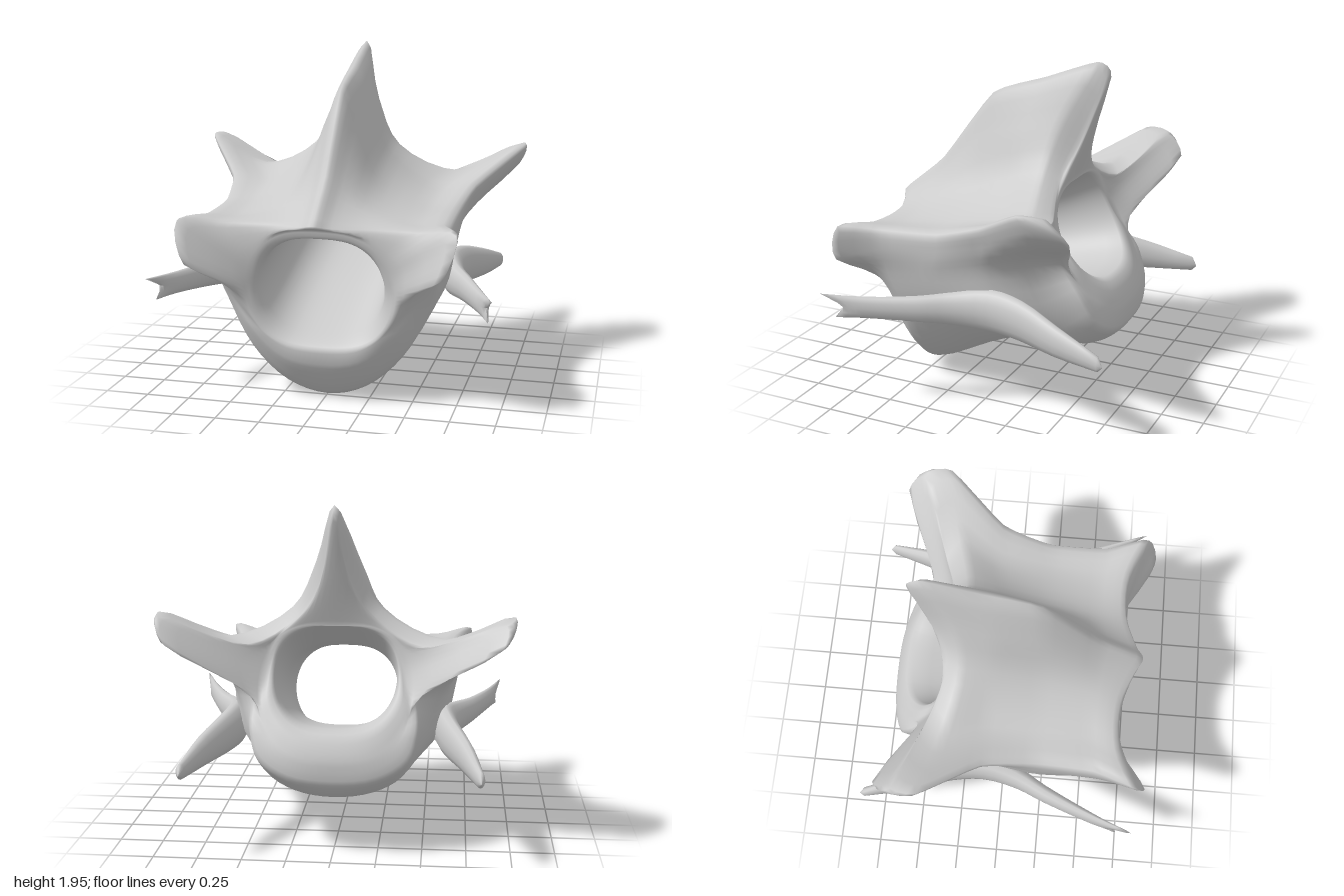
import * as THREE from 'three';

const material = new THREE.MeshStandardMaterial({ color: 0xcccccc, side: THREE.DoubleSide });
const V = (x, y, z) => new THREE.Vector3(x, y, z);

// Resample control points, n samples per span; a low tension keeps spans nearly straight
function resample(points, n, closed, type = 'centripetal', tension = .5) {
  const curve = new THREE.CatmullRomCurve3(points, closed, type, tension);
  const spans = closed ? points.length : points.length - 1;
  const count = spans * n + (closed ? 0 : 1);
  return Array.from({ length: count }, (_, i) => curve.getPoint(i / (spans * n)));
}

// Skin a list of closed rings; closed joins the last ring to the first
function skin(rings, closed, flip) {
  const m = rings[0].length, index = [];
  const last = closed ? rings.length : rings.length - 1;
  for (let v = 0; v < last; v++) {
    for (let u = 0; u < m; u++) {
      const w = (v + 1) % rings.length, t = (u + 1) % m;
      const a = v * m + u, b = v * m + t, c = w * m + t, d = w * m + u;
      if (flip) index.push(a, b, d, b, c, d);
      else index.push(a, d, b, b, d, c);
    }
  }
  const g = new THREE.BufferGeometry().setFromPoints(rings.flat());
  g.setIndex(index);
  g.computeVertexNormals();
  return g;
}

// Lengthwise lines of the left half, from front to back, keel up to spine ridge
const lines = {
  keel: [[0, .2, .635], [0, 0, .48], [0, .18, .12], [0, .28, -.12], [0, .325, -.58], [0, .43, -.7]],
  belly: [[.22, .24, .64], [.23, .07, .5], [.24, .22, .15], [.24, .31, -.1], [.22, .345, -.54], [.25, .46, -.69]],
  lowerFlank: [[.41, .4, .63], [.44, .26, .5], [.46, .36, .2], [.43, .41, -.1], [.38, .42, -.48], [.42, .56, -.64]],
  flank: [[.54, .6, .61], [.6, .55, .48], [.62, .58, .2], [.6, .6, -.1], [.5, .6, -.38], [.47, .72, -.57]],
  side: [[.62, .76, .69], [.66, .76, .54], [.68, .8, .25], [.65, .86, -.05], [.61, .91, -.3], [.48, .91, -.46]],
  wingUnderside: [[.715, .81, .85], [.71, .92, .54], [.7, .95, .2], [.72, 1.03, -.1], [.96, 1.22, -.48], [.91, 1.2, -.69]],
  wingEdge: [[.775, 1.04, .79], [.7, 1.03, .54], [.69, 1.05, .2], [.75, 1.15, -.1], [.99, 1.34, -.43], [.94, 1.32, -.59]],
  outerRoof: [[.56, 1.02, .68], [.5, 1.03, .5], [.5, 1.07, .2], [.52, 1.13, -.1], [.62, 1.19, -.33], [.5, 1.16, -.42]],
  innerRoof: [[.28, 1.02, .67], [.25, 1.09, .5], [.24, 1.2, .2], [.25, 1.31, -.08], [.26, 1.35, -.25], [.22, 1.31, -.34]],
  spineSide: [[.09, 1.03, .74], [.09, 1.19, .51], [.1, 1.48, .2], [.13, 1.56, -.07], [.12, 1.62, -.3], [.09, 1.5, -.4]],
  ridge: [[0, 1.05, .79], [0, 1.28, .52], [0, 1.715, .18], [0, 1.835, -.15], [0, 1.95, -.47], [0, 1.87, -.55]],
};

// Back rim on one line, the canal wall from back to front, then the front rim
function canalPoints(i, n) {
  const a = Math.PI * (i / (n - 1) - .5), up = (Math.sin(a) + 1) / 2;
  const rise = Math.sin(up * Math.PI / 2);
  const wall = (rx, cy, ry, z) => V(
    rx * Math.pow(Math.max(0, Math.cos(a)), .7), cy + ry * Math.sin(a), z);
  return [
    wall(.44, .93, .36, -.7 + .34 * rise),
    wall(.35, .99, .265, -.59 + .25 * rise),
    wall(.33, .83, .25, .02),
    wall(.355, .665, .285, .55 + .09 * up),
    wall(.43, .66, .345, .655 + .03 * up),
  ];
}

function createBody() {
  const list = Object.values(lines), n = list.length;
  // Each line runs over the outside, round the back rim and home through the canal
  const loops = list.map((pts, i) =>
    resample([...pts.map(p => V(...p)), ...canalPoints(i, n)], 4, true, 'catmullrom', .25));
  const rings = loops[0].map((_, s) => {
    const half = loops.map(l => l[s]);
    const mirrored = half.slice(1, -1).reverse().map(p => V(-p.x, p.y, p.z));
    return resample([...half, ...mirrored], 4, true);
  });
  const body = new THREE.Mesh(skin(rings, true, false), material);
  body.name = 'vertebraBody';
  return body;
}

// Thin side blade: [x, low y, high y, z, half thickness] from front to back
const bladeSections = [
  [.955, .56, .7, .76, .015], [.88, .56, .69, .56, .03], [.76, .54, .7, .28, .05], [.67, .52, .72, .1, .065],
  [.62, .5, .75, -.1, .075], [.65, .49, .73, -.3, .065], [.74, .48, .66, -.55, .05], [.815, .48, .57, -.82, .025],
];

function createBlade(sign) {
  const sides = 12;
  const sections = bladeSections.map(([x, lo, hi, z, t], k) =>
    Array.from({ length: sides }, (_, j) => {
      const a = j / sides * Math.PI * 2, s = Math.sin(a);
      // forked front tip, upper prong longer
      const fork = k === 0 ? -.09 * (1 - s * s) + .04 * s : 0;
      return V(sign * (x + t * Math.cos(a) + fork * .35), (lo + hi) / 2 + s * (hi - lo) / 2, z + fork);
    }));
  const tracks = sections[0].map((_, j) => resample(sections.map(r => r[j]), 3, false));
  const rings = tracks[0].map((_, s) => tracks.map(t => t[s]));
  // close both tips
  const [x0, l0, h0, z0] = bladeSections[0], [x1, l1, h1, z1] = bladeSections.at(-1);
  const cap = (x, y, z) => Array.from({ length: sides }, () => V(sign * x, y, z));
  rings.unshift(cap(x0 - .03, (l0 + h0) / 2, z0 - .09));
  rings.push(cap(x1 + .005, (l1 + h1) / 2 - .015, z1 - .03));
  const blade = new THREE.Mesh(skin(rings, false, sign < 0), material);
  blade.name = sign > 0 ? 'leftSideBlade' : 'rightSideBlade';
  return blade;
}

export function createModel() {
  const model = new THREE.Group();
  model.name = 'vertebra';
  model.add(createBody(), createBlade(1), createBlade(-1));
  return model;
}
